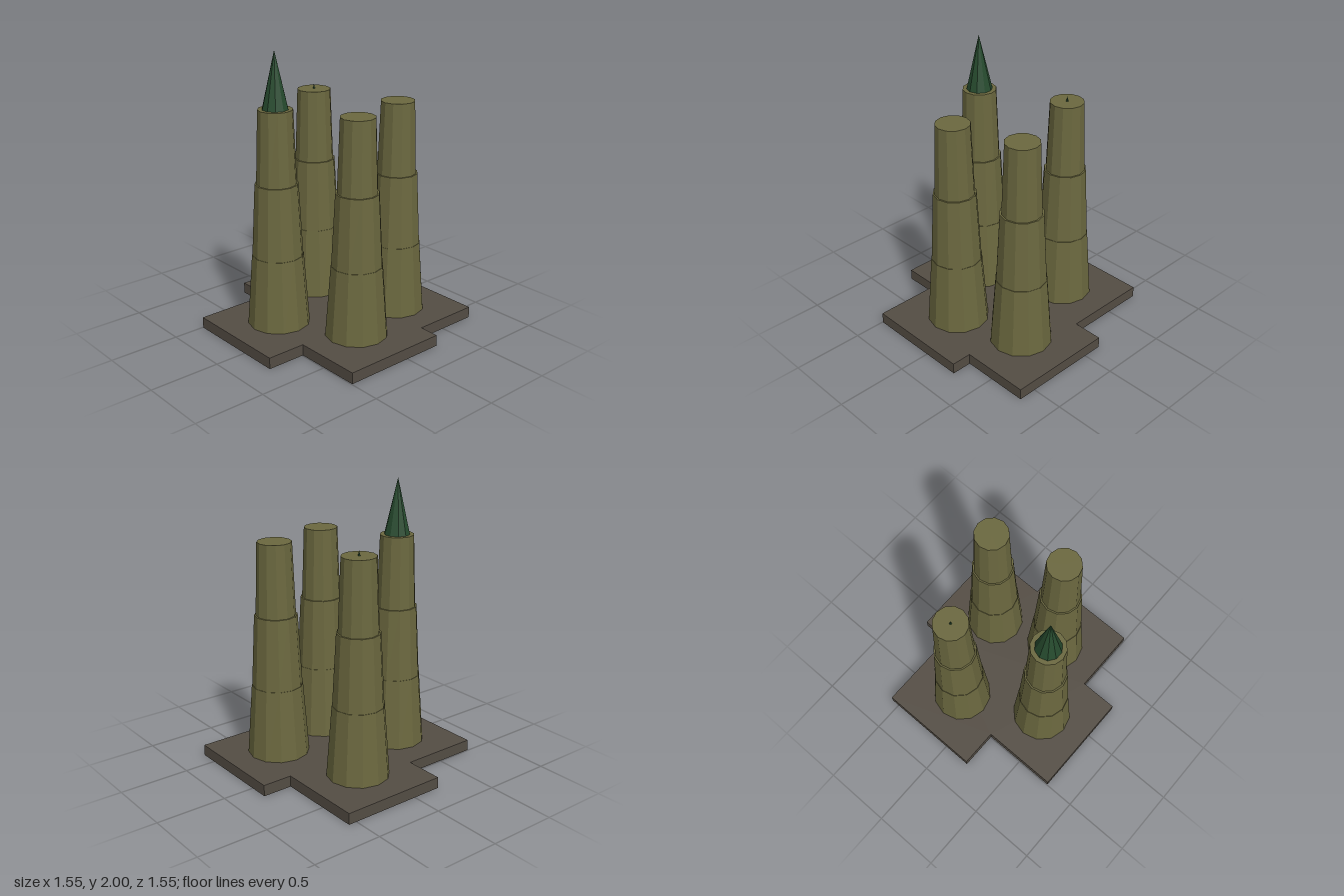
import * as THREE from 'three';

const mat = (name, color) => {
  const m = new THREE.MeshStandardMaterial({ color, flatShading: true });
  m.name = name;
  return m;
};

export function createModel() {
  const stone = mat('olive stone', 0x6b683f);
  const slab = mat('grey brown slab', 0x544d44);
  const green = mat('dark green', 0x264a2e);
  const model = new THREE.Group();
  model.name = 'fourTowers';

  const add = (parent, name, geometry, material, y) => {
    const mesh = new THREE.Mesh(geometry, material);
    mesh.name = name;
    mesh.position.y = y;
    parent.add(mesh);
  };

  // Stepped plinth: outline of four overlapping square plots, in x and z
  const outline = [
    [-0.775, -0.495], [-0.21, -0.495], [-0.21, -0.775], [0.56, -0.775],
    [0.56, -0.14], [0.775, -0.14], [0.775, 0.63], [0.28, 0.63],
    [0.28, 0.775], [-0.495, 0.775], [-0.495, 0.28], [-0.775, 0.28],
  ].map(([x, z]) => new THREE.Vector2(x, z));
  const plinth = new THREE.ExtrudeGeometry(new THREE.Shape(outline), { depth: 0.08, bevelEnabled: false });
  plinth.rotateX(Math.PI / 2);
  add(model, 'plinth', plinth, slab, 0.08);

  // Tower stages: bottom height, top height, bottom radius, top radius
  const stages = [
    ['lowerStage', 0.02, 0.59, 0.222, 0.179],
    ['middleStage', 0.59, 1.1, 0.176, 0.149],
    ['upperStage', 1.1, 1.61, 0.138, 0.119],
  ];
  // Tower positions, with the height of the spire tip where it rises above the roof
  const towers = [
    ['backRightTower', -0.39, -0.11, 2],
    ['backLeftTower', 0.175, -0.39, 1.645],
    ['frontLeftTower', 0.387, 0.243, 0],
    ['frontRightTower', -0.108, 0.385, 0],
  ];
  for (const [name, x, z, tip] of towers) {
    const tower = new THREE.Group();
    tower.name = name;
    tower.position.set(x, 0, z);
    for (const [part, y0, y1, r0, r1] of stages) {
      add(tower, part, new THREE.CylinderGeometry(r1, r0, y1 - y0, 12), stone, (y0 + y1) / 2);
    }
    // Ten-sided spire, partly sunk into the roof on the lower one
    if (tip) add(tower, 'spire', new THREE.ConeGeometry(0.091, 0.395, 10), green, tip - 0.1975);
    model.add(tower);
  }
  return model;
}
